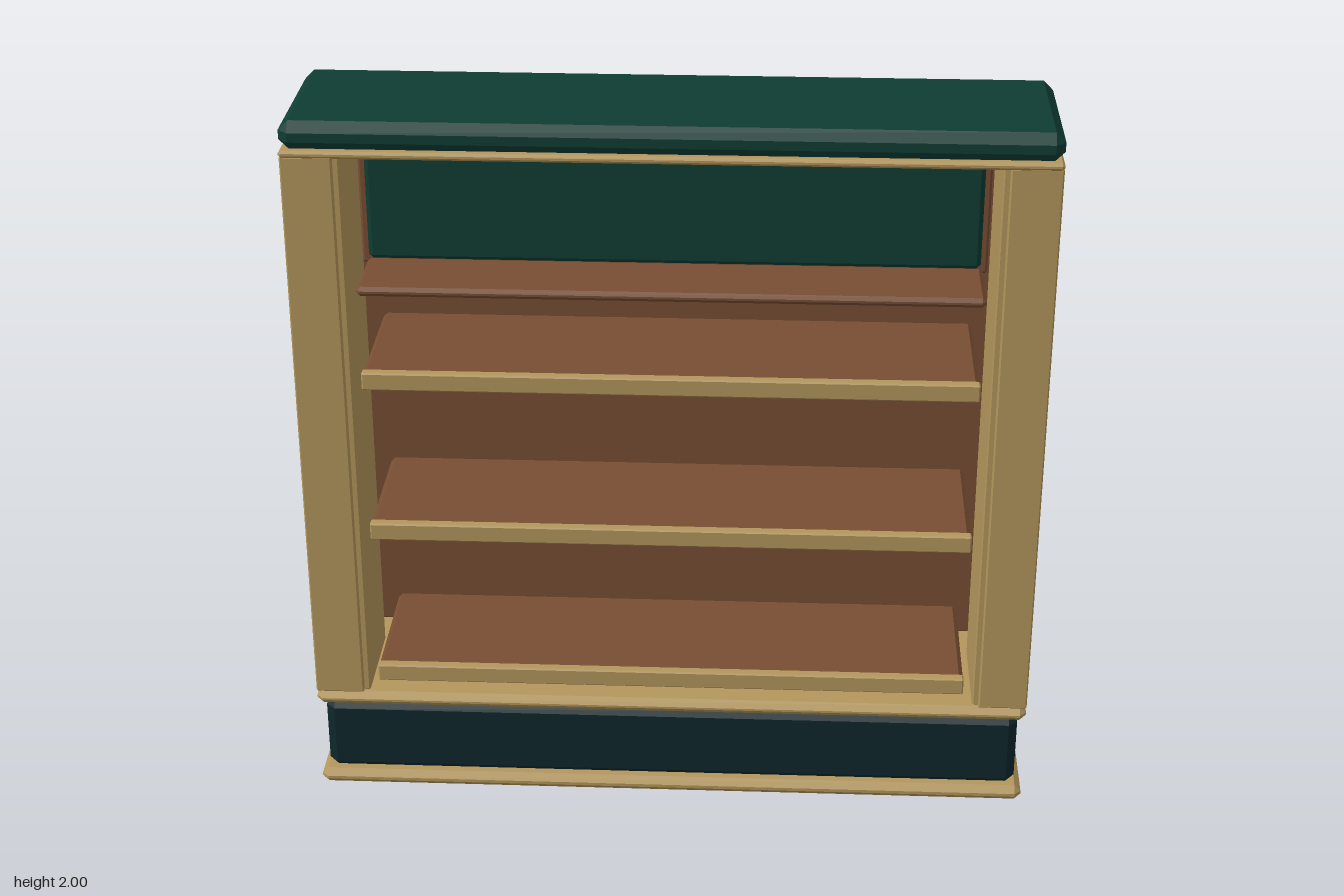
import * as THREE from 'three';
import { ConvexGeometry } from 'three/addons/geometries/ConvexGeometry.js';

// Box between two corners with all edges chamfered by c
function chamferBox([x0, x1], [y0, y1], [z0, z1], c) {
  const h = [(x1 - x0) / 2, (y1 - y0) / 2, (z1 - z0) / 2];
  const points = [];
  for (let axis = 0; axis < 3; axis++) {
    for (const sx of [-1, 1]) for (const sy of [-1, 1]) for (const sz of [-1, 1]) {
      const p = [sx, sy, sz].map((s, i) => s * (i === axis ? h[i] : h[i] - c));
      points.push(new THREE.Vector3(...p));
    }
  }
  const geometry = new ConvexGeometry(points);
  geometry.translate((x0 + x1) / 2, (y0 + y1) / 2, (z0 + z1) / 2);
  return geometry;
}

export function createModel() {
  const group = new THREE.Group();
  const paint = (name, color) => {
    const m = new THREE.MeshStandardMaterial({ color });
    m.name = name;
    return m;
  };
  const green = paint('darkGreen', 0x0f3d34);
  const navy = paint('darkTeal', 0x0e272b);
  const gold = paint('paleGold', 0xb3965c);
  const brown = paint('brownWood', 0x774e33);

  const add = (name, material, x, y, z, c) => {
    const mesh = new THREE.Mesh(chamferBox(x, y, z, c), material);
    mesh.name = name;
    group.add(mesh);
  };

  // Plinth between two gold mouldings
  add('baseMoulding', gold, [-1, 1], [0, 0.045], [-0.23, 0.23], 0.018);
  add('plinth', navy, [-0.98, 0.98], [0.04, 0.268], [-0.21, 0.21], 0.025);
  add('middleMoulding', gold, [-1, 1], [0.265, 0.307], [-0.23, 0.23], 0.018);

  // Top moulding and cap
  add('topMoulding', gold, [-1, 1], [1.905, 1.925], [-0.23, 0.23], 0.007);
  add('cap', green, [-1, 1], [1.923, 2], [-0.23, 0.23], 0.026);

  // Sides, front stiles and inner liners, mirrored
  for (const [side, s] of [['left', 1], ['right', -1]]) {
    const span = (a, b) => (s > 0 ? [a, b] : [-b, -a]);
    add(side + 'SidePanel', green, span(0.87, 0.992), [0.305, 1.907], [-0.215, 0.205], 0.022);
    add(side + 'Stile', gold, span(0.865, 1), [0.305, 1.907], [0.195, 0.22], 0.004);
    add(side + 'Liner', gold, span(0.848, 0.876), [0.305, 1.907], [-0.08, 0.205], 0.004);
  }

  // Back board
  add('backPanel', brown, [-0.945, 0.945], [0.305, 1.885], [-0.22, -0.195], 0.006);

  // Shelves with gold nosings
  for (const y of [0.35, 0.8, 1.253]) {
    add('shelf', brown, [-0.82, 0.82], [y - 0.008, y + 0.046], [-0.2, 0.205], 0.012);
    add('shelfNosing', gold, [-0.82, 0.82], [y, y + 0.05], [0.195, 0.225], 0.004);
  }

  // Header panel in its frame, with a thin shelf below
  add('headerFrame', brown, [-0.838, 0.838], [1.525, 1.885], [-0.05, -0.008], 0.006);
  add('headerPanel', green, [-0.82, 0.82], [1.54, 1.87], [-0.045, 0.005], 0.012);
  add('headerShelf', brown, [-0.825, 0.825], [1.512, 1.538], [-0.05, 0.2], 0.01);

  return group;
}
